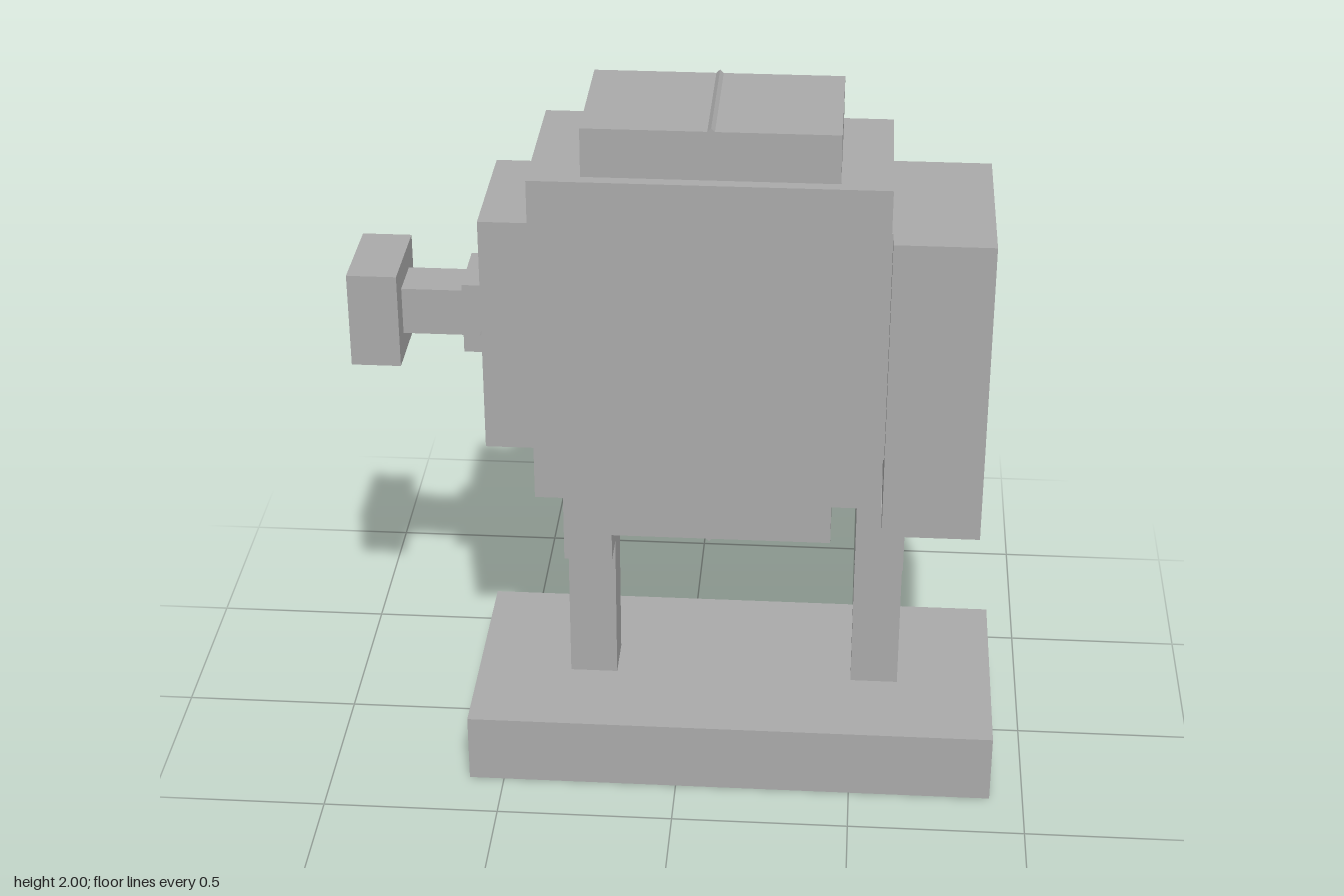
import * as THREE from 'three';

export function createModel() {
  const group = new THREE.Group();
  const grey = new THREE.MeshStandardMaterial({ color: 0xaaaaaa });
  grey.name = 'plain grey';

  // Box from x and y ranges, centred on z with the given half depth
  function block(name, x0, x1, y0, y1, halfZ) {
    const mesh = new THREE.Mesh(new THREE.BoxGeometry(x1 - x0, y1 - y0, halfZ * 2), grey);
    mesh.position.set((x0 + x1) / 2, (y0 + y1) / 2, 0);
    mesh.name = name;
    group.add(mesh);
    return mesh;
  }

  // Base slab and the two T-shaped supports
  block('base', -0.6, 0.905, 0, 0.205, 0.342);
  for (const [name, x] of [['right', -0.26], ['left', 0.564]]) {
    block(name + 'Post', x - 0.068, x + 0.068, 0.205, 0.655, 0.068);
    block(name + 'Saddle', x - 0.068, x + 0.068, 0.655, 0.86, 0.172);
  }

  // Stepped body: wide main block with a tall and a long inner block
  block('mainBody', -0.398, 0.562, 0.895, 1.853, 0.24);
  block('tallCore', -0.258, 0.425, 0.758, 1.99, 0.205);
  block('longCore', -0.535, 0.7, 1.032, 1.715, 0.205);

  // Inner block turned on its corner, whose tips show as small ridges
  const side = 0.625 * Math.SQRT2;
  const diamond = block('diamondCore', 0.085 - side / 2, 0.085 + side / 2,
    1.375 - side / 2, 1.375 + side / 2, 0.205);
  diamond.rotation.z = Math.PI / 4;

  // Large end cap
  block('endCap', 0.566, 0.837, 0.828, 1.715, 0.274);

  // Stub, shaft and knob at the other end
  block('shaftCollar', -0.6, -0.535, 1.272, 1.476, 0.102);
  block('shaft', -0.775, -0.6, 1.306, 1.442, 0.068);
  block('knob', -0.91, -0.773, 1.238, 1.51, 0.136);

  return group;
}
